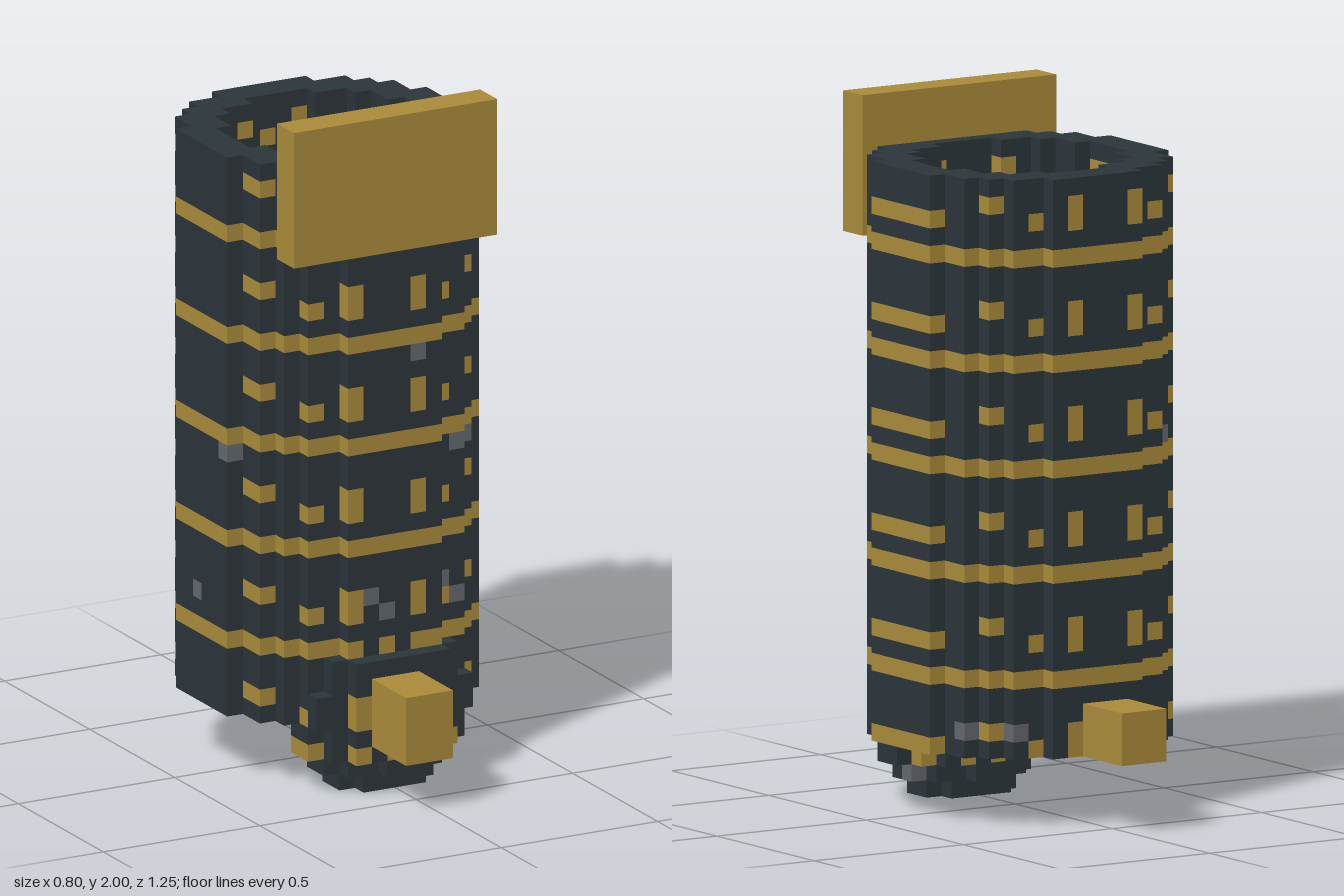
import * as THREE from 'three';

const U = 0.05; // block size
const Y0 = 0.2; // underside of the tower
const Z0 = -0.025; // tower axis

const mod = (a, n) => ((a % n) + n) % n;
const key = (i, j, k) => `${i},${j},${k}`;

// Scattered worn stones
const WORN = new Set([
  '1,21,7', '-8,15,2', '4,15,6', '5,15,5', '-2,7,7', '-1,6,7', '3,7,6', '4,6,6',
  '6,1,-5', '4,1,-7', '-6,17,-6', '-8,6,-1', '3,-3,5',
]);

// Repeating inlay pattern, six courses high
function blockColor(i, j, k, isBulb) {
  if (WORN.has(key(i, j, k))) return 'stone';
  const course = mod(j, 6), column = mod(i, 4);
  if (course === 4) return !isBulb || column % 2 === 1 ? 'gold' : 'dark';
  if (course === 1 && column === 1) return 'gold';
  const endFace = k >= 7 || k <= -8;
  if (course === 0 && column === (endFace ? 1 : 3)) return 'gold';
  return 'dark';
}

// Exposed faces of a block set, for the cells of one part and one colour
const SIDES = [
  [[1, 0, 0], [0, 1, 0], [0, 0, 1]], [[-1, 0, 0], [0, 0, 1], [0, 1, 0]],
  [[0, 1, 0], [0, 0, 1], [1, 0, 0]], [[0, -1, 0], [1, 0, 0], [0, 0, 1]],
  [[0, 0, 1], [1, 0, 0], [0, 1, 0]], [[0, 0, -1], [0, 1, 0], [1, 0, 0]],
];
function blockGeometry(cells, all) {
  const pos = [], nor = [], index = [];
  for (const { i, j, k } of cells) {
    const c = [(i + 0.5) * U, Y0 + (j + 0.5) * U, Z0 + (k + 0.5) * U];
    for (const [n, a, b] of SIDES) {
      if (all.has(key(i + n[0], j + n[1], k + n[2]))) continue;
      const s = pos.length / 3;
      for (const [p, q] of [[-1, -1], [1, -1], [1, 1], [-1, 1]]) {
        for (let d = 0; d < 3; d++) pos.push(c[d] + (n[d] + p * a[d] + q * b[d]) * U / 2);
        nor.push(...n);
      }
      index.push(s, s + 1, s + 2, s, s + 2, s + 3);
    }
  }
  const g = new THREE.BufferGeometry();
  g.setAttribute('position', new THREE.Float32BufferAttribute(pos, 3));
  g.setAttribute('normal', new THREE.Float32BufferAttribute(nor, 3));
  g.setIndex(index);
  return g;
}

export function createModel() {
  const materials = {};
  for (const [name, color] of [['dark', 0x2c353b], ['gold', 0xaa8b3a], ['stone', 0x64676d]]) {
    materials[name] = new THREE.MeshStandardMaterial({ color });
    materials[name].name = name;
  }

  const blocks = new Map();
  const add = (part, i, j, k) =>
    blocks.set(key(i, j, k), { part, i, j, k, color: blockColor(i, j, k, part === 'bulb') });

  // Hollow round tower, open at both ends, notched where the beam passes
  for (let j = 0; j < 33; j++)
    for (let i = -8; i < 8; i++)
      for (let k = -8; k < 8; k++) {
        const r2 = (i + 0.5) ** 2 + (k + 0.5) ** 2;
        const inBeam = i >= -2 && i <= 0 && j < 3 && k <= -7;
        if (r2 < 64 && r2 > 36 && !inBeam) add('tower', i, j, k);
      }

  // Rounded bulb at the foot of the front wall
  for (let j = -4; j < 6; j++)
    for (let i = -5; i < 5; i++)
      for (let k = 3; k < 9; k++) {
        const x = (i + 0.5) * U, y = (j + 0.5) * U - 0.05, z = k * U - 0.275;
        if ((x / 0.26) ** 2 + (y / 0.27) ** 2 + (z / 0.17) ** 2 >= 1) continue;
        if (j >= 4 && k === 8) continue;
        const inWall = blocks.has(key(i, j, k));
        if (inWall && j >= 4 && (i < -2 || i > 0)) continue;
        add('bulb', i, j, k);
      }

  const model = new THREE.Group();
  model.name = 'blockTower';
  for (const part of ['tower', 'bulb']) {
    const group = new THREE.Group();
    group.name = part;
    for (const color of Object.keys(materials)) {
      const cells = [...blocks.values()].filter((b) => b.part === part && b.color === color);
      const mesh = new THREE.Mesh(blockGeometry(cells, blocks), materials[color]);
      mesh.name = `${part} ${color} blocks`;
      group.add(mesh);
    }
    model.add(group);
  }

  // Plain gold boxes given by their two corners
  const box = (name, [x0, y0, z0], [x1, y1, z1]) => {
    const mesh = new THREE.Mesh(new THREE.BoxGeometry(x1 - x0, y1 - y0, z1 - z0), materials.gold);
    mesh.position.set((x0 + x1) / 2, (y0 + y1) / 2, (z0 + z1) / 2);
    mesh.name = name;
    model.add(mesh);
  };
  box('topPlate', [-0.35, 1.6, 0.325], [0.3, 2, 0.425]);
  box('frontStub', [-0.1, 0.15, 0.4], [0.05, 0.35, 0.625]);
  box('crossBeam', [-0.1, 0.2, -0.625], [0.05, 0.35, 0.15]);

  return model;
}
